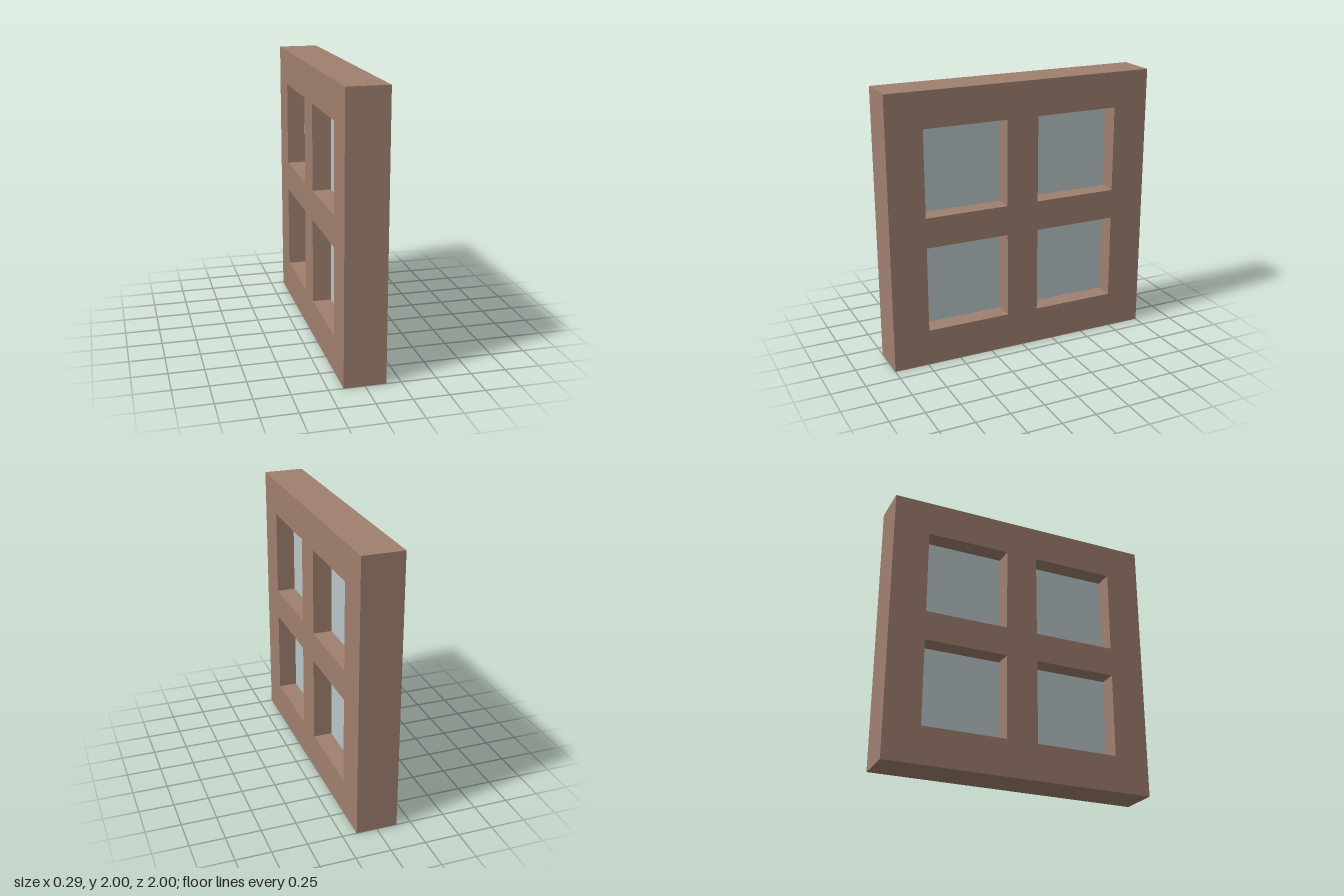
import * as THREE from 'three';

const THICK = 0.294;
const PANE_THICK = 0.02;
// Pane openings, given as [min, max] across the width (z) and the height (y)
const COLUMNS = [[-0.736, -0.119], [0.119, 0.736]];
const ROWS = [[0.268, 0.895], [1.114, 1.741]];

// Rectangle outline added to a shape or path
function rectangle(path, x0, y0, x1, y1) {
  path.moveTo(x0, y0);
  path.lineTo(x1, y0);
  path.lineTo(x1, y1);
  path.lineTo(x0, y1);
  path.closePath();
  return path;
}

export function createModel() {
  const wood = new THREE.MeshStandardMaterial({ color: 0xa08070 });
  wood.name = 'brown wood';
  const glass = new THREE.MeshStandardMaterial({ color: 0xbac6c9 });
  glass.name = 'pale glass';

  const model = new THREE.Group();
  model.name = 'window';

  const outline = rectangle(new THREE.Shape(), -1, 0, 1, 2);

  for (const [z0, z1] of COLUMNS) {
    for (const [y0, y1] of ROWS) {
      outline.holes.push(rectangle(new THREE.Path(), z0, y0, z1, y1));

      // Glass pane set in the middle of the frame depth
      const pane = new THREE.Mesh(
        new THREE.BoxGeometry(PANE_THICK, y1 - y0, z1 - z0), glass);
      pane.name = 'pane';
      pane.position.set(0, (y0 + y1) / 2, (z0 + z1) / 2);
      model.add(pane);
    }
  }

  // Frame with crossing bars, facing sideways along x
  const geometry = new THREE.ExtrudeGeometry(outline, { depth: THICK, bevelEnabled: false });
  geometry.translate(0, 0, -THICK / 2);
  geometry.rotateY(Math.PI / 2);
  const frame = new THREE.Mesh(geometry, wood);
  frame.name = 'frame';
  model.add(frame);

  return model;
}
